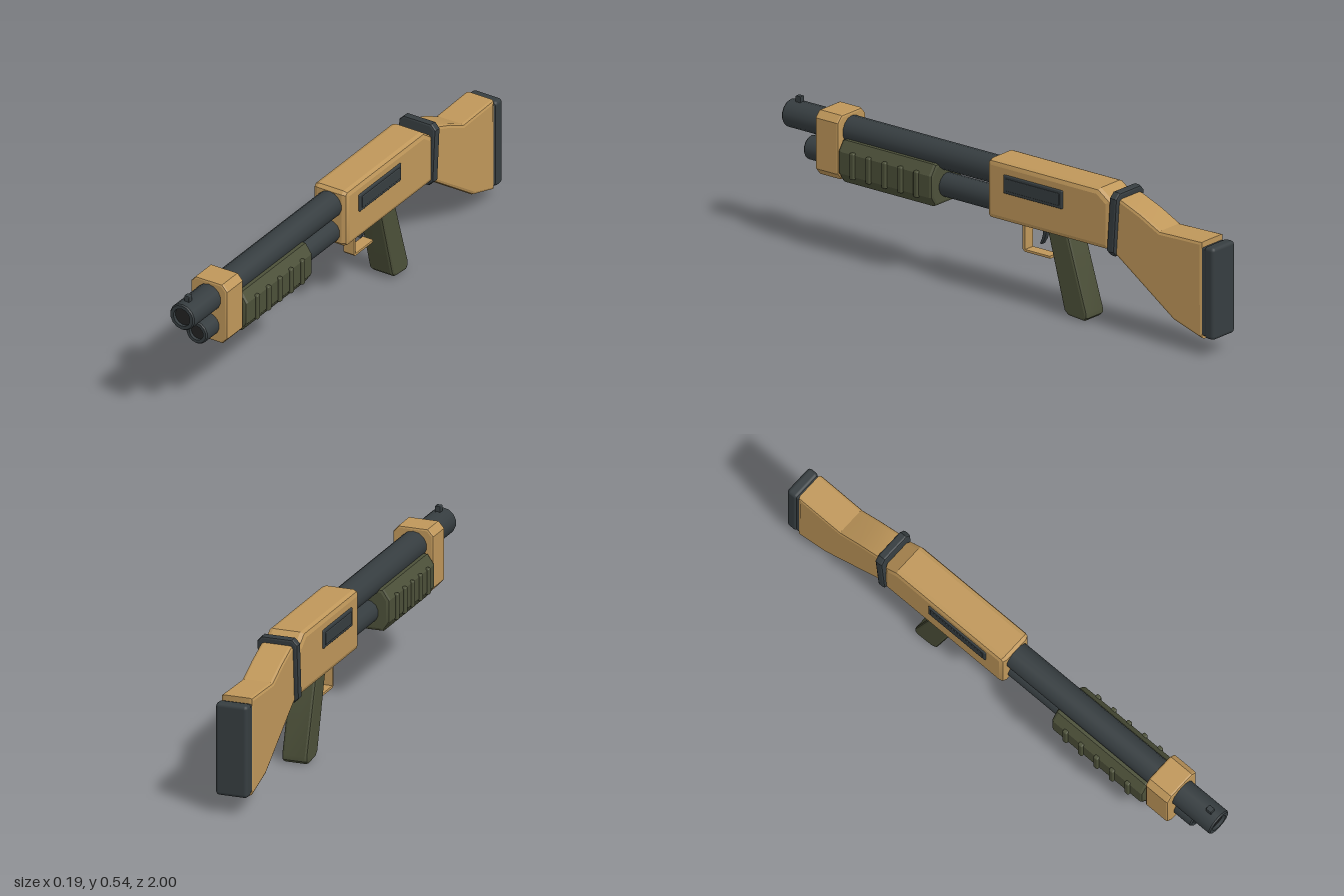
import * as THREE from 'three';
import { toCreasedNormals } from 'three/addons/utils/BufferGeometryUtils.js';
import { RoundedBoxGeometry } from 'three/addons/geometries/RoundedBoxGeometry.js';

export function createModel() {
  const model = new THREE.Group();
  const mat = (name, color) => Object.assign(new THREE.MeshStandardMaterial({ color }), { name });
  const tan = mat('tan', 0xbf975a);
  const steel = mat('dark steel', 0x363d40);
  const green = mat('olive green', 0x4c5039);
  const black = mat('bore black', 0x222222);

  const add = (name, geometry, material, x = 0, y = 0, z = 0) => {
    const mesh = new THREE.Mesh(geometry, material);
    mesh.name = name;
    mesh.position.set(x, y, z);
    model.add(mesh);
    return mesh;
  };

  // Bevelled extrusion that keeps the outline's full size, centred on its depth
  const extrude = (points, depth, bevel) => {
    const shape = new THREE.Shape(points.map(([a, b]) => new THREE.Vector2(a, b)));
    const g = new THREE.ExtrudeGeometry(shape, {
      depth: depth - 2 * bevel, bevelEnabled: bevel > 0, bevelSize: bevel,
      bevelThickness: bevel, bevelOffset: -bevel, bevelSegments: 2,
    });
    g.translate(0, 0, -depth / 2 + bevel);
    return toCreasedNormals(g, 0.35);
  };
  // Side outline given as [z, y], extruded across x
  const side = (points, width, bevel) => extrude(points, width, bevel).rotateY(-Math.PI / 2);
  // Rectangle with cut corners, extruded along z
  const plate = (w, h, cutX, cutY, depth, bevel) => extrude([
    [-w, -h + cutY], [-w + cutX, -h], [w - cutX, -h], [w, -h + cutY],
    [w, h - cutY], [w - cutX, h], [-w + cutX, h], [-w, h - cutY],
  ], depth, bevel);

  // Barrel and magazine tube, each with a shallow dark bore
  const tube = (name, y, r, bore, back, front) => {
    const profile = [[r, back], [r, front - 0.005], [r - 0.004, front], [bore, front], [bore, front - 0.015]]
      .map(([a, b]) => new THREE.Vector2(a, b));
    const g = new THREE.LatheGeometry(profile, 14).rotateX(Math.PI / 2);
    add(name, toCreasedNormals(g, 0.6), steel, 0, y);
    add(name + 'Bore', new THREE.CircleGeometry(bore, 14), black, 0, y, front - 0.012);
  };
  tube('barrel', 0.463, 0.052, 0.035, 0, 1);
  tube('magazineTube', 0.354, 0.045, 0.029, 0, 0.905);
  add('frontSight', new RoundedBoxGeometry(0.021, 0.035, 0.024, 1, 0.003), steel, 0, 0.518, 0.957);

  // Band that clamps both tubes
  add('barrelBand', plate(0.078, 0.121, 0.022, 0.025, 0.107, 0.008), tan, 0, 0.408, 0.77);

  // Sliding fore-end with raised ribs
  add('pump', plate(0.087, 0.079, 0.026, 0.038, 0.433, 0.012), green, 0, 0.364, 0.495);
  for (const s of [-1, 1]) {
    for (let i = 0; i < 5; i++) {
      add('pumpRib', new RoundedBoxGeometry(0.02, 0.1, 0.021, 2, 0.006), green, s * 0.086, 0.363, 0.642 - i * 0.0735);
    }
  }

  // Receiver and a port cover on each side
  add('receiver', side([
    [0.037, 0.315], [0.037, 0.515], [0.025, 0.527], [-0.475, 0.527],
    [-0.53, 0.488], [-0.53, 0.302], [0.025, 0.302],
  ], 0.144, 0.02), tan);
  for (const s of [-1, 1]) {
    add('portFrame', new RoundedBoxGeometry(0.016, 0.07, 0.272, 2, 0.005), steel, s * 0.07, 0.449, -0.179);
    add('portCover', new RoundedBoxGeometry(0.016, 0.046, 0.248, 2, 0.003), steel, s * 0.073, 0.449, -0.179);
  }

  // Pistol grip
  add('grip', side([
    [-0.21, 0.35], [-0.225, 0.302], [-0.3, 0.022], [-0.318, 0.006], [-0.39, 0],
    [-0.404, 0.012], [-0.404, 0.03], [-0.32, 0.302], [-0.305, 0.35],
  ], 0.1, 0.01), green);

  // Trigger guard and curved trigger
  add('triggerGuard', side([
    [-0.088, 0.32], [-0.088, 0.199], [-0.097, 0.19], [-0.215, 0.19],
    [-0.215, 0.2], [-0.101, 0.2], [-0.101, 0.32],
  ], 0.046, 0.002), tan);
  add('trigger', side([
    [-0.172, 0.31], [-0.172, 0.275], [-0.165, 0.25], [-0.156, 0.231],
    [-0.166, 0.231], [-0.179, 0.252], [-0.188, 0.28], [-0.192, 0.31],
  ], 0.02, 0.002), steel);

  // Tilted collar between receiver and stock
  add('stockCollar', plate(0.078, 0.122, 0.02, 0.02, 0.034, 0.008), steel, 0, 0.406, -0.543).rotation.x = -0.07;

  // Shoulder stock and butt pad
  add('stock', side([
    [-0.54, 0.508], [-0.575, 0.503], [-0.663, 0.468], [-0.749, 0.425], [-0.947, 0.43],
    [-0.947, 0.062], [-0.813, 0.104], [-0.556, 0.283], [-0.53, 0.295],
  ], 0.122, 0.012), tan);
  add('buttSpacer', new RoundedBoxGeometry(0.114, 0.335, 0.03, 2, 0.008), steel, 0, 0.241, -0.95);
  add('buttPad', new RoundedBoxGeometry(0.124, 0.348, 0.046, 2, 0.014), steel, 0, 0.241, -0.977);

  return model;
}
